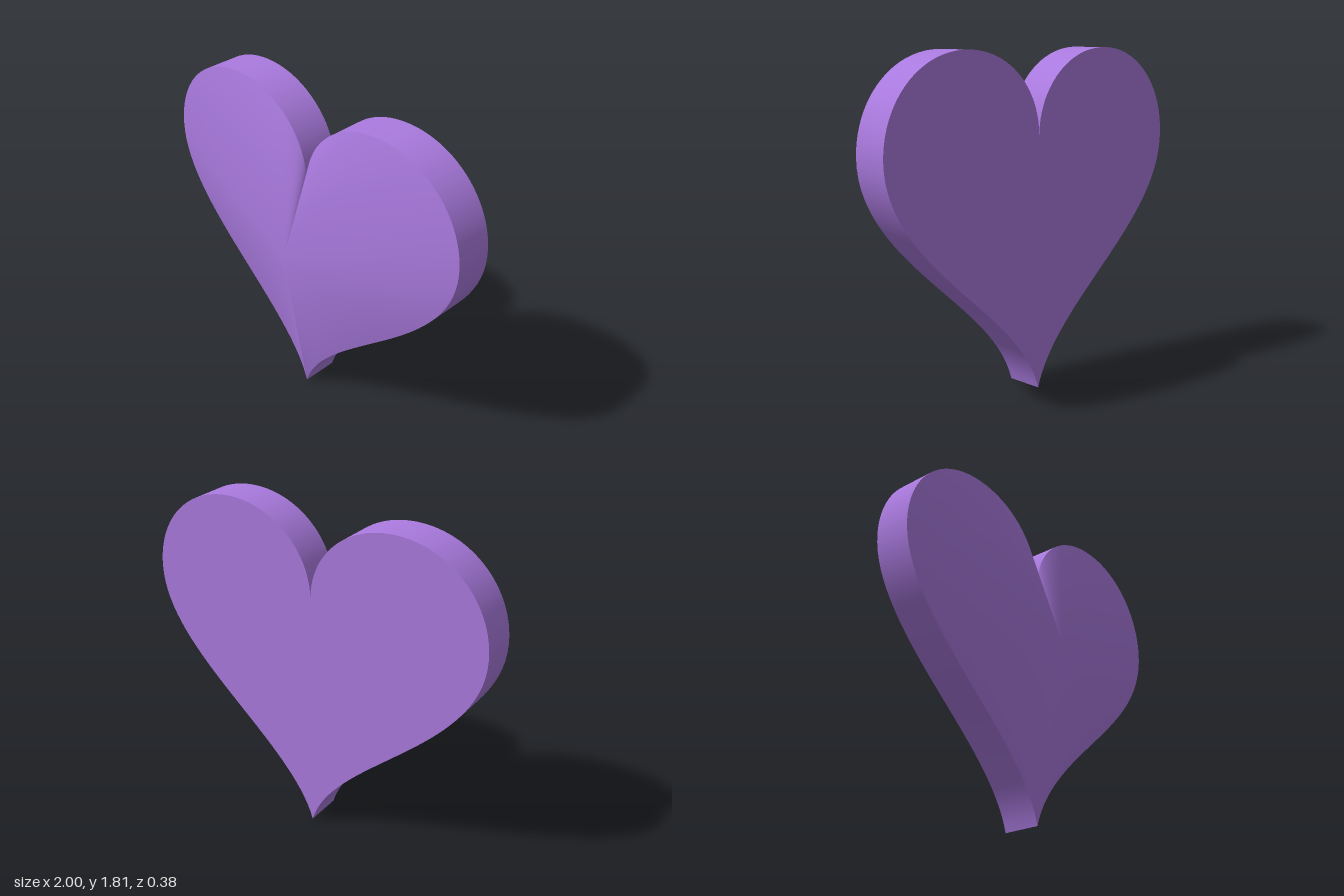
import * as THREE from 'three';

const BACK = -0.19, RIM = 0.02, PEAK = 0.19, CENTRE_Y = 0.97, STEPS = 32;

// Right half of the heart outline, clockwise from the notch to the tip
function halfOutline() {
  const v = (x, y) => new THREE.Vector2(x, y);
  const curves = [
    [v(0, 1.36), v(0, 1.61), v(0.21, 1.81), v(0.49, 1.81)],
    [v(0.49, 1.81), v(0.78, 1.81), v(1, 1.59), v(1, 1.31)],
    [v(1, 1.31), v(1, 0.79), v(0.13, 0.46), v(0, 0)],
  ];
  return curves.flatMap((c, i) =>
    new THREE.CubicBezierCurve(...c).getPoints(STEPS).slice(i ? 1 : 0));
}

function build(positions, index) {
  const g = new THREE.BufferGeometry();
  g.setAttribute('position', new THREE.Float32BufferAttribute(positions, 3));
  g.setIndex(index);
  g.computeVertexNormals();
  return g;
}

// Fan from a shared centre; the halves stay split along the middle crease
function fan(halves, rimZ, centreZ, facesFront) {
  const pos = [0, CENTRE_Y, centreZ], index = [];
  for (const pts of halves) {
    const start = pos.length / 3;
    pts.forEach((p, i) => {
      pos.push(p.x, p.y, rimZ);
      const a = start + i - 1, b = start + i;
      if (i) index.push(0, ...(facesFront ? [b, a] : [a, b]));
    });
  }
  return build(pos, index);
}

// Smooth side wall, with sharp edges at the notch and the tip
function wall(halves) {
  const pos = [], index = [];
  for (const pts of halves) {
    const start = pos.length / 3;
    pts.forEach((p, i) => {
      pos.push(p.x, p.y, RIM, p.x, p.y, BACK);
      const a = start + 2 * (i - 1);
      if (i) index.push(a, a + 2, a + 3, a, a + 3, a + 1);
    });
  }
  return build(pos, index);
}

export function createModel() {
  const group = new THREE.Group();
  group.name = 'heart';
  const purple = new THREE.MeshStandardMaterial({ color: 0xaa7adf });
  purple.name = 'purple';

  const right = halfOutline();
  const left = right.map(p => new THREE.Vector2(-p.x, p.y)).reverse();
  const halves = [right, left];

  const add = (name, geometry) => {
    const mesh = new THREE.Mesh(geometry, purple);
    mesh.name = name;
    group.add(mesh);
  };
  add('peakedFront', fan(halves, RIM, PEAK, true));
  add('sideWall', wall(halves));
  add('flatBack', fan(halves, BACK, BACK, false));
  return group;
}
